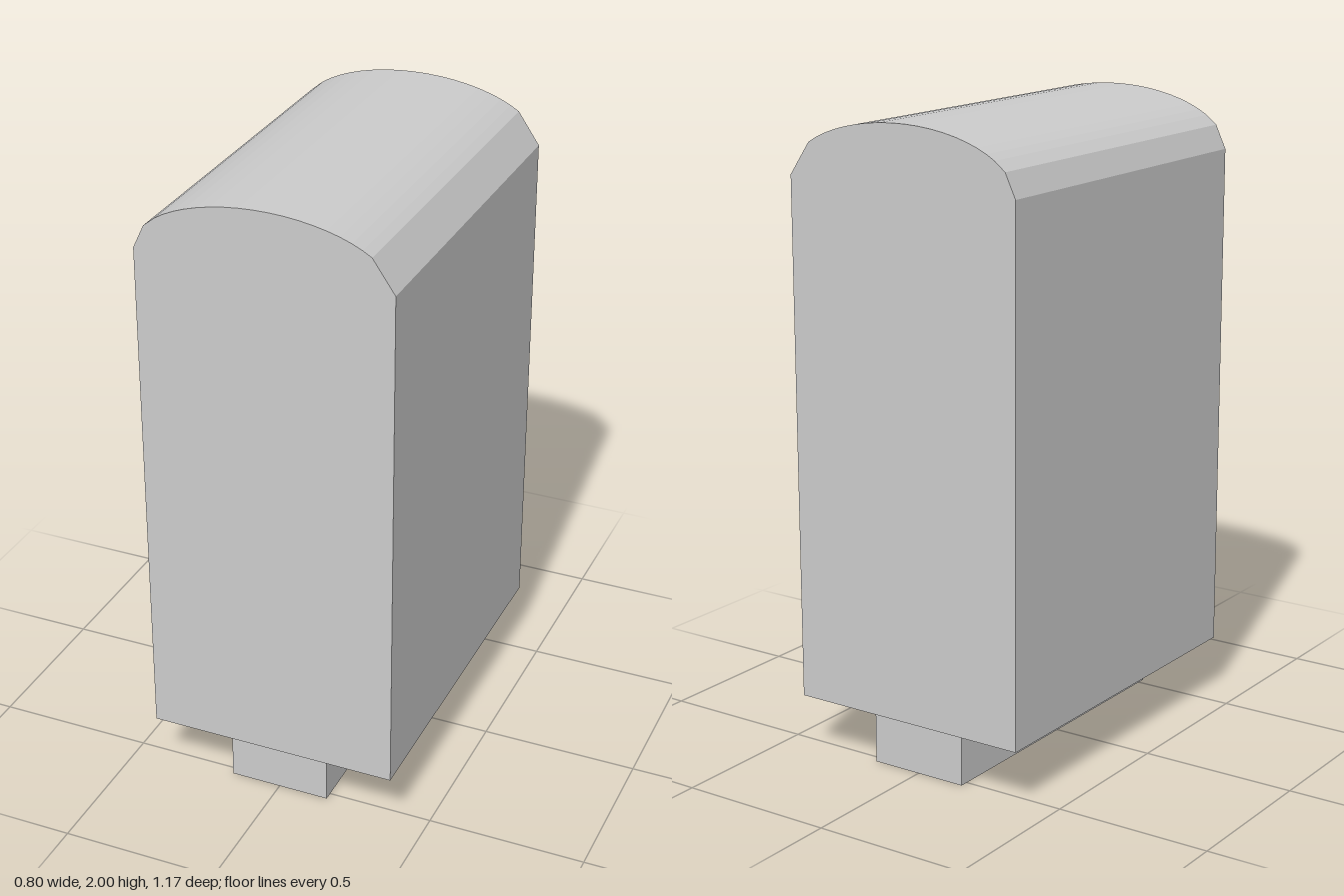
import * as THREE from 'three';

const HALF_WIDTH = 0.4, DEPTH = 1.17, BASE = 0.185, SPRING = 1.82, RISE = 0.18;

export function createModel() {
  const group = new THREE.Group();
  const material = new THREE.MeshStandardMaterial({ color: 0xcccccc, flatShading: true });

  // Upright body with a faceted elliptical crown; the right bevel is the wider one
  const angles = [34.4];
  for (let i = 1; i <= 17; i++) angles.push(34.4 + (i * 111.2) / 17);
  angles.push(155.9);

  const profile = new THREE.Shape();
  profile.moveTo(-HALF_WIDTH, BASE);
  profile.lineTo(HALF_WIDTH, BASE);
  profile.lineTo(HALF_WIDTH, SPRING);
  for (const degrees of angles) {
    const a = THREE.MathUtils.degToRad(degrees);
    profile.lineTo(HALF_WIDTH * Math.cos(a), SPRING + RISE * Math.sin(a));
  }
  profile.lineTo(-HALF_WIDTH, SPRING);
  profile.closePath();

  const bodyGeometry = new THREE.ExtrudeGeometry(profile, { depth: DEPTH, bevelEnabled: false });
  bodyGeometry.translate(0, 0, -DEPTH / 2);
  const body = new THREE.Mesh(bodyGeometry, material);
  body.name = 'body';
  group.add(body);

  // Narrow foot block under the body
  const foot = new THREE.Mesh(new THREE.BoxGeometry(0.325, BASE, 1.055), material);
  foot.name = 'foot';
  foot.position.y = BASE / 2;
  group.add(foot);

  return group;
}
